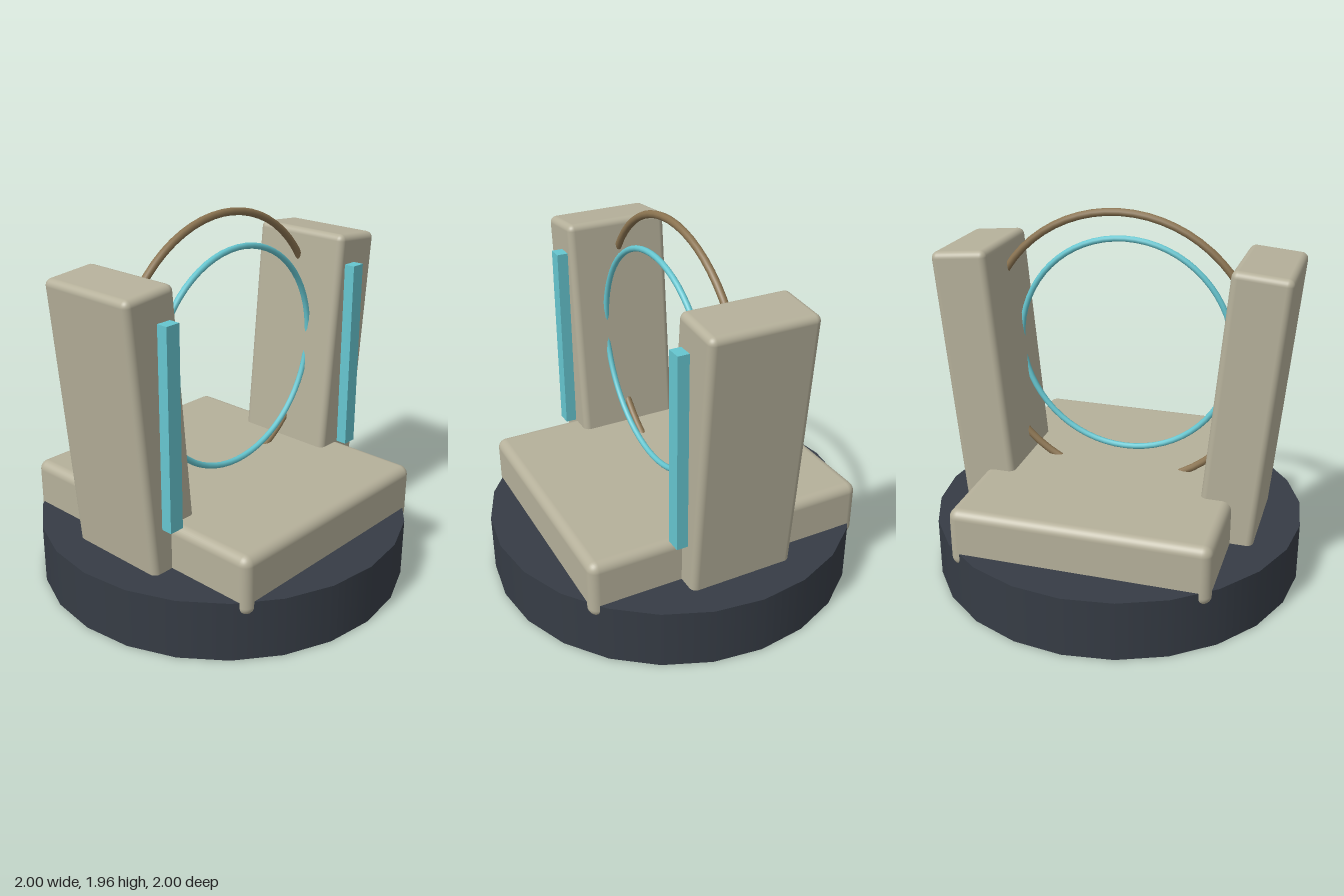
import * as THREE from 'three';
import { RoundedBoxGeometry } from 'three/addons/geometries/RoundedBoxGeometry.js';

function material(name, color) {
  const m = new THREE.MeshStandardMaterial({ color });
  m.name = name;
  return m;
}

export function createModel() {
  const model = new THREE.Group();
  model.name = 'ringGate';
  const stone = material('stone', 0xb5b09a);
  const slate = material('slate', 0x363c45);
  const bronze = material('bronze', 0x8a7350);
  const glow = material('glow', 0x66c6d0);

  function add(name, geometry, mat, x, y, z, tilt = 0) {
    const mesh = new THREE.Mesh(geometry, mat);
    mesh.name = name;
    mesh.position.set(x, y, z);
    mesh.rotation.z = tilt;
    model.add(mesh);
    return mesh;
  }

  // Round foot and the rounded slab sunk into it
  add('base', new THREE.CylinderGeometry(1, 1, 0.32, 24), slate, 0, 0.16, 0);
  add('slab', new RoundedBoxGeometry(1.35, 0.32, 1.55, 4, 0.05), stone, 0, 0.4, 0);

  // Outward-leaning pillars, each with an upright light strip on its front
  for (const side of [1, -1]) {
    const label = side > 0 ? 'left' : 'right';
    add(label + 'Pillar', new RoundedBoxGeometry(0.3, 1.5, 0.57, 4, 0.035), stone,
      side * 0.702, 1.003, 0, -side * 0.09);
    add(label + 'LightStrip', new THREE.BoxGeometry(0.08, 1.04, 0.08), glow,
      side * 0.695, 1.08, 0.305);
  }

  // Outer and inner rings
  add('outerRing', new THREE.TorusGeometry(0.74, 0.02, 10, 64), bronze, 0, 1.2, 0);
  add('innerRing', new THREE.TorusGeometry(0.585, 0.016, 10, 64), glow, 0, 1.197, 0.1);

  return model;
}
